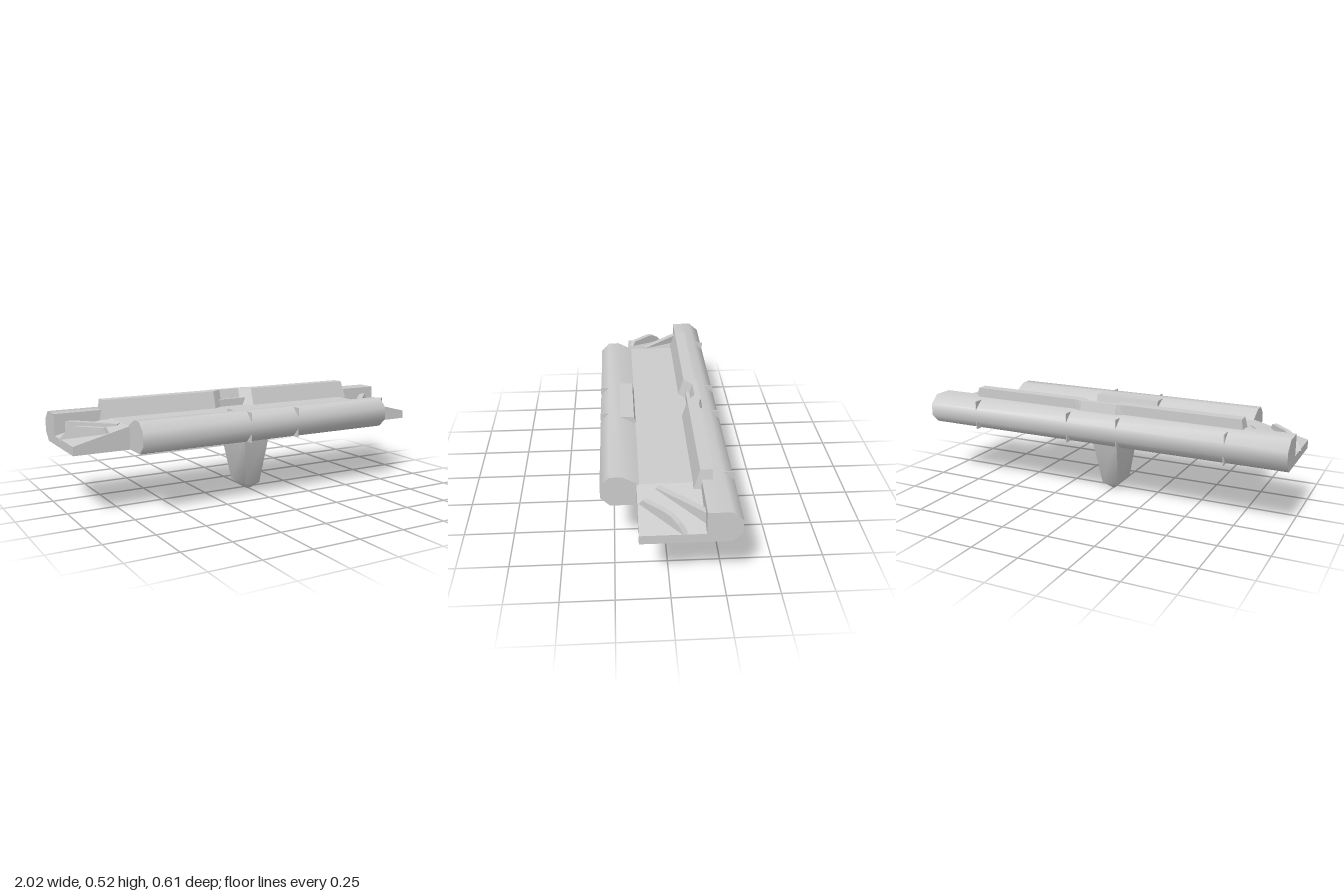
import * as THREE from 'three';
import { toCreasedNormals } from 'three/addons/utils/BufferGeometryUtils.js';

const material = new THREE.MeshStandardMaterial({ color: 0xcccccc });
const flatMaterial = new THREE.MeshStandardMaterial({ color: 0xcccccc, flatShading: true });

const shapeOf = (pts) => new THREE.Shape(pts.map(([x, y]) => new THREE.Vector2(x, y)));
const extrude = (pts, depth) =>
  new THREE.ExtrudeGeometry(shapeOf(pts), { depth, bevelEnabled: false });

// Extrudes a [z, y] profile along x, from x0 to x1.
function extrudeX(pts, x0, x1) {
  const g = extrude(pts.map(([z, y]) => [-z, y]), x1 - x0);
  return g.rotateY(Math.PI / 2).translate(x0, 0, 0);
}

// Skins equal-sized rings of [x, y, z] points and caps both ends.
function loft(rings) {
  const n = rings[0].length, pos = [], idx = [];
  rings.forEach((ring) => ring.forEach((p) => pos.push(...p)));
  for (let i = 0; i < rings.length - 1; i++) {
    for (let j = 0; j < n; j++) {
      const a = i * n + j, b = i * n + (j + 1) % n;
      idx.push(a, b, b + n, a, b + n, a + n);
    }
  }
  const last = (rings.length - 1) * n;
  for (let j = 1; j < n - 1; j++) {
    idx.push(0, j + 1, j, last, last + j, last + j + 1);
  }
  const g = new THREE.BufferGeometry();
  g.setAttribute('position', new THREE.Float32BufferAttribute(pos, 3));
  g.setIndex(idx);
  const flat = g.toNonIndexed();
  flat.computeVertexNormals();
  return flat;
}

// Upright diagonal fin: [distance, y] outline set along the line from a to b in [x, z].
function diagonalFin(outline, a, b, thickness) {
  const g = extrude(outline, thickness).translate(0, 0, -thickness / 2);
  g.rotateY(Math.atan2(a[1] - b[1], b[0] - a[0]));
  return g.translate(a[0], 0, a[1]);
}

export function createModel() {
  const model = new THREE.Group();
  const add = (name, geometry, mat = material) => {
    const mesh = new THREE.Mesh(geometry, mat);
    mesh.name = name;
    model.add(mesh);
  };

  // Deck slab, sloping down at both ends
  const deck = [[-1, 0.316], [1, 0.316], [1, 0.36], [0.72, 0.43], [-0.72, 0.43], [-1, 0.36]];
  add('deck', extrude(deck, 0.29).translate(0, 0, -0.15), flatMaterial);

  // Long chamfered bars along front and back
  const frontBar = [[0.128, 0.316], [0.262, 0.316], [0.306, 0.36], [0.306, 0.425],
    [0.262, 0.47], [0.205, 0.47], [0.128, 0.43]];
  add('frontBar', toCreasedNormals(extrudeX(frontBar, -0.72, 0.72), 0.9));
  const backBar = [[-0.15, 0.316], [-0.262, 0.316], [-0.306, 0.36], [-0.306, 0.425],
    [-0.255, 0.47], [-0.15, 0.47]];
  add('backBar', toCreasedNormals(extrudeX(backBar, -1, 1), 0.9));

  // Raised pad on the inner slope of the front bar
  const pad = [[0.126, 0.425], [0.21, 0.425], [0.205, 0.47], [0.135, 0.47]];
  add('frontPad', extrudeX(pad, -0.184, 0.184), flatMaterial);

  // Thin triangular ribs squaring off the bar chamfers
  const ribs = [[1, [-0.14, 0.14]], [-1, [-0.7, -0.14, 0.14, 0.7]]];
  for (const [side, xs] of ribs) {
    const upper = [[0.255, 0.47], [0.306, 0.47], [0.306, 0.425]];
    const lower = [[0.262, 0.316], [0.306, 0.316], [0.306, 0.36]];
    for (const x of xs) {
      for (const tri of [upper, lower]) {
        const pts = tri.map(([z, y]) => [z * side, y]);
        add('barRib', extrudeX(pts, x - 0.002, x + 0.002), flatMaterial);
      }
    }
  }

  // Upright rail in front of the back bar, stepping back at its middle
  // Columns: x, front shift, back top z, back bottom z
  const half = [[0.75, 0, -0.2, -0.2], [0.15, 0, -0.2, -0.2], [0.12, 0, -0.205, -0.213],
    [0.1, -0.013, -0.212, -0.23], [0.06, -0.042, -0.212, -0.23]];
  const mirrored = half.map(([x, ...rest]) => [-x, ...rest]);
  const stations = [...mirrored, ...half.reverse()];
  add('rail', loft(stations.map(([x, shift, backTop, backLow]) => {
    const low = Math.abs(x) > 0.7 ? x * 1.02 : x;
    return [[x, 0.52, -0.142 + shift], [low, 0.425, -0.114 + shift],
      [low, 0.425, backLow], [x, 0.52, backTop]];
  })), flatMaterial);

  // Diagonal fins on the sloping ends
  const outerFin = [[0, 0.37], [0, 0.4], [0.02, 0.43], [0.14, 0.43], [0.18, 0.424],
    [0.22, 0.4], [0.26, 0.36], [0.25, 0.345]];
  const innerFin = [[0, 0.4], [0, 0.43], [0.285, 0.43], [0.285, 0.36]];
  for (const s of [-1, 1]) {
    add('outerFin', diagonalFin(outerFin, [s * 0.82, 0.125], [s * 0.995, -0.06], 0.026), flatMaterial);
    add('innerFin', diagonalFin(innerFin, [s * 0.74, 0.045], [s * 0.93, -0.155], 0.03), flatMaterial);
  }

  // Tapered keel below, narrowing to a blunt tip
  const keel = [[0, 0.008, 0.035, -0.038], [0.036, 0.045, 0.075, -0.079], [0.32, 0.076, 0.128, -0.153]];
  const rings = keel.map(([y, w, front, back]) =>
    [[-w, y, front], [w, y, front], [w, y, back], [-w, y, back]]);
  add('keel', toCreasedNormals(loft(rings), 0.9));

  return model;
}
